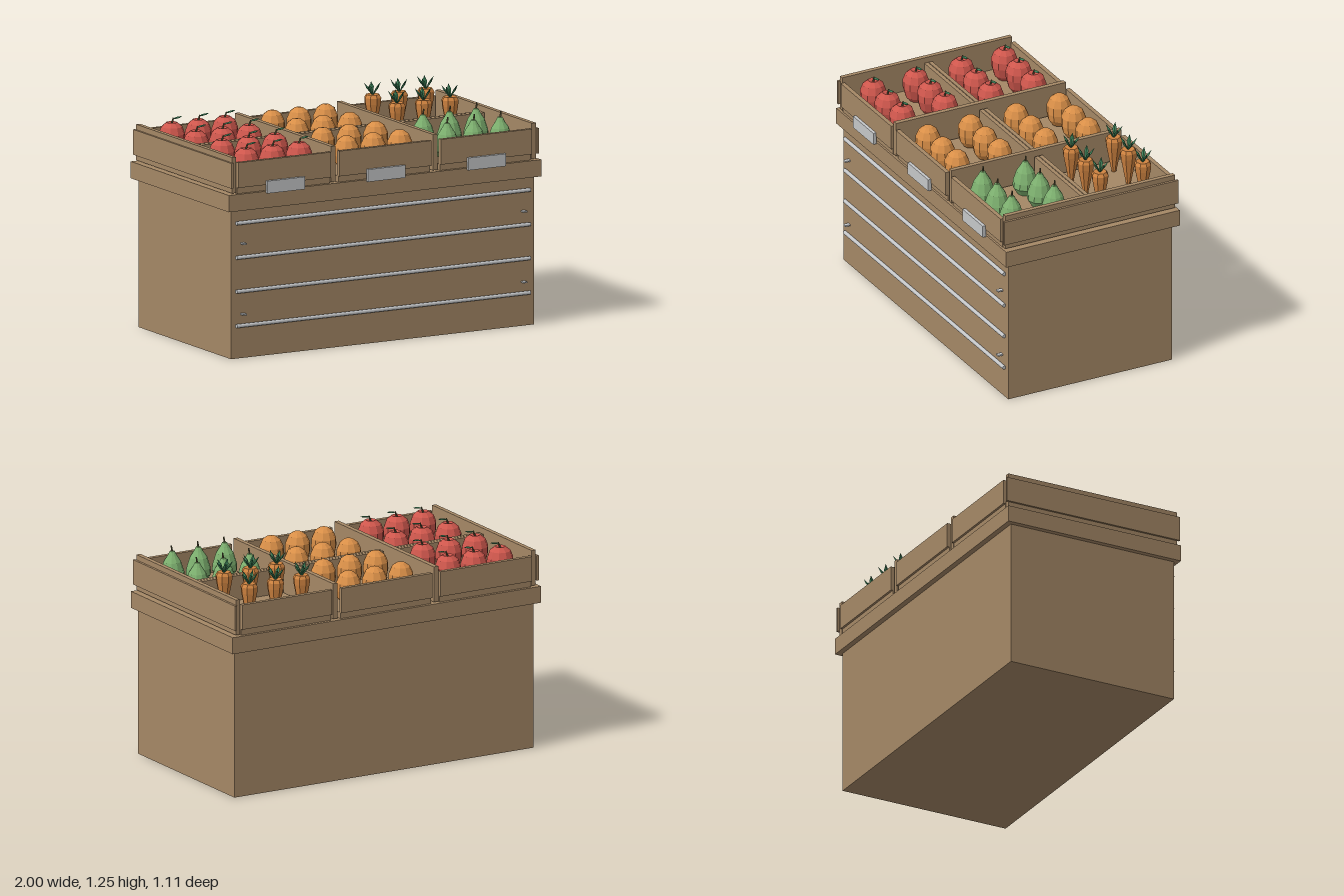
import * as THREE from 'three';

export function createModel() {
  const model = new THREE.Group();
  const mat = (name, color, flatShading = true) => {
    const m = new THREE.MeshStandardMaterial({ color, flatShading });
    m.name = name;
    return m;
  };
  const wood = mat('wood', 0xa58866);
  const metal = mat('metal', 0xc6c8ca, false);
  const red = mat('apple red', 0xcf574d);
  const orange = mat('orange peel', 0xd98f48);
  const carrotOrange = mat('carrot orange', 0xcf8340);
  const pearGreen = mat('pear green', 0x7db06f);
  const leafGreen = mat('leaf green', 0x3d8058);
  const stemBrown = mat('stem brown', 0x5e5a3c);

  const add = (name, geo, material, parent = model) => {
    const mesh = new THREE.Mesh(geo, material);
    mesh.name = name;
    parent.add(mesh);
    return mesh;
  };
  // Box given by its limits on each axis
  const box = (name, x0, x1, y0, y1, z0, z1, material = wood, parent = model) => {
    const m = add(name, new THREE.BoxGeometry(x1 - x0, y1 - y0, z1 - z0), material, parent);
    m.position.set((x0 + x1) / 2, (y0 + y1) / 2, (z0 + z1) / 2);
    return m;
  };
  const lathe = (pts, sides) =>
    new THREE.LatheGeometry(pts.map(([r, y]) => new THREE.Vector2(r, y)), sides);

  // Counter body and overhanging ledge
  box('counterBody', -0.97, 0.97, 0, 0.84, -0.523, 0.508);
  box('counterLedge', -1, 1, 0.84, 0.935, -0.555, 0.537);

  // Metal strips and pins on the front
  for (const y of [0.767, 0.572, 0.38, 0.185]) {
    const bar = add('frontStrip', new THREE.CylinderGeometry(0.011, 0.011, 1.88, 8), metal);
    bar.rotation.z = Math.PI / 2;
    bar.position.set(0, y, 0.517);
  }
  for (const y of [0.65, 0.25])
    for (const s of [-1, 1])
      box('frontPin', s * 0.898 - 0.012, s * 0.898 + 0.012, y - 0.004, y + 0.004, 0.507, 0.54, metal);

  // Three crates, each split in two trays by a pair of middle boards
  for (const [x0, x1] of [[-0.941, -0.348], [-0.294, 0.294], [0.356, 0.938]]) {
    const crate = new THREE.Group();
    crate.name = 'crate';
    model.add(crate);
    for (const [z0, z1] of [[0.012, 0.527], [-0.542, -0.034]]) {
      box('trayFloor', x0, x1, 0.937, 0.972, z0, z1, wood, crate);
    }
    box('frontBoard', x0, x1, 0.972, 1.115, 0.515, 0.54, wood, crate);
    box('backBoard', x0, x1, 0.972, 1.115, -0.555, -0.53, wood, crate);
    box('middleBoardFront', x0, x1, 0.945, 1.115, -0.009, 0.014, wood, crate);
    box('middleBoardBack', x0, x1, 0.945, 1.115, -0.036, -0.013, wood, crate);
  }
  // Tall boards between and beside the crates
  for (const [x0, x1] of [[-0.973, -0.947], [-0.342, -0.313], [0.313, 0.34], [0.944, 0.971]])
    box('sideBoard', x0, x1, 0.942, 1.145, -0.541, 0.527);
  // Outer rails on the two ends
  for (const s of [-1, 1])
    box('endRail', s * 0.978 - 0.007, s * 0.978 + 0.007, 0.972, 1.115, -0.555, 0.54);
  // Label plates
  for (const x of [-0.644, 0, 0.643])
    box('labelPlate', x - 0.12, x + 0.12, 0.926, 0.996, 0.538, 0.558, metal);

  // Produce shapes, heights measured from the tray floor
  const appleGeo = lathe([[0, 0.012], [0.035, 0.002], [0.06, 0.03], [0.075, 0.085],
    [0.075, 0.125], [0.06, 0.165], [0.03, 0.19], [0, 0.18]], 10);
  const orangeGeo = lathe([[0, 0], [0.04, 0.01], [0.064, 0.045], [0.072, 0.085],
    [0.07, 0.13], [0.052, 0.17], [0.026, 0.19], [0, 0.193]], 10);
  const pearGeo = lathe([[0, 0], [0.045, 0.003], [0.072, 0.045], [0.069, 0.08],
    [0.05, 0.14], [0.027, 0.175], [0.014, 0.2], [0, 0.202]], 10);
  const carrotGeo = lathe([[0, 0], [0.014, 0.004], [0.031, 0.09], [0.046, 0.165],
    [0.049, 0.2], [0.038, 0.218], [0, 0.215]], 8);
  const stemGeo = new THREE.CylinderGeometry(0.004, 0.006, 0.035, 5);
  const leafGeo = new THREE.SphereGeometry(1, 6, 4).scale(0.03, 0.004, 0.012);
  // Carrot leaf: narrow at the crown, widest near the tip
  const frondGeo = lathe([[0, 0], [0.004, 0.005], [0.012, 0.055], [0, 0.088]], 4)
    .scale(1, 1, 0.5);

  const makers = {
    apple(g) {
      add('appleBody', appleGeo, red, g);
      const stem = add('appleStem', stemGeo, stemBrown, g);
      stem.position.set(0.005, 0.197, 0);
      stem.rotation.z = -0.35;
      const leaf = add('appleLeaf', leafGeo, leafGreen, g);
      leaf.position.set(0.036, 0.212, 0);
      leaf.rotation.z = 0.15;
    },
    orange(g) {
      add('orangeBody', orangeGeo, orange, g);
    },
    pear(g) {
      add('pearBody', pearGeo, pearGreen, g);
      const stem = add('pearStem', stemGeo, stemBrown, g);
      stem.position.set(0.003, 0.215, 0);
      stem.rotation.z = -0.15;
    },
    carrot(g) {
      add('carrotRoot', carrotGeo, carrotOrange, g);
      for (let i = 0; i < 5; i++) {
        const turn = new THREE.Group();
        turn.name = 'carrotLeaf';
        turn.position.y = 0.21;
        turn.rotation.y = 0.3 + (i * Math.PI * 2) / 5;
        g.add(turn);
        add('frond', frondGeo, leafGreen, turn).rotation.x = 0.6;
      }
    },
  };

  // Rows of three in every tray
  const rows = [0.403, 0.135, -0.153, -0.422];
  const columns = [
    [-0.644, ['apple', 'apple', 'apple', 'apple']],
    [0, ['orange', 'orange', 'orange', 'orange']],
    [0.643, ['pear', 'pear', 'carrot', 'carrot']],
  ];
  for (const [cx, kinds] of columns)
    kinds.forEach((kind, r) => {
      for (const dx of [-0.17, 0, 0.17]) {
        const item = new THREE.Group();
        item.name = kind;
        item.position.set(cx + dx, 0.972, rows[r]);
        makers[kind](item);
        model.add(item);
      }
    });

  return model;
}
